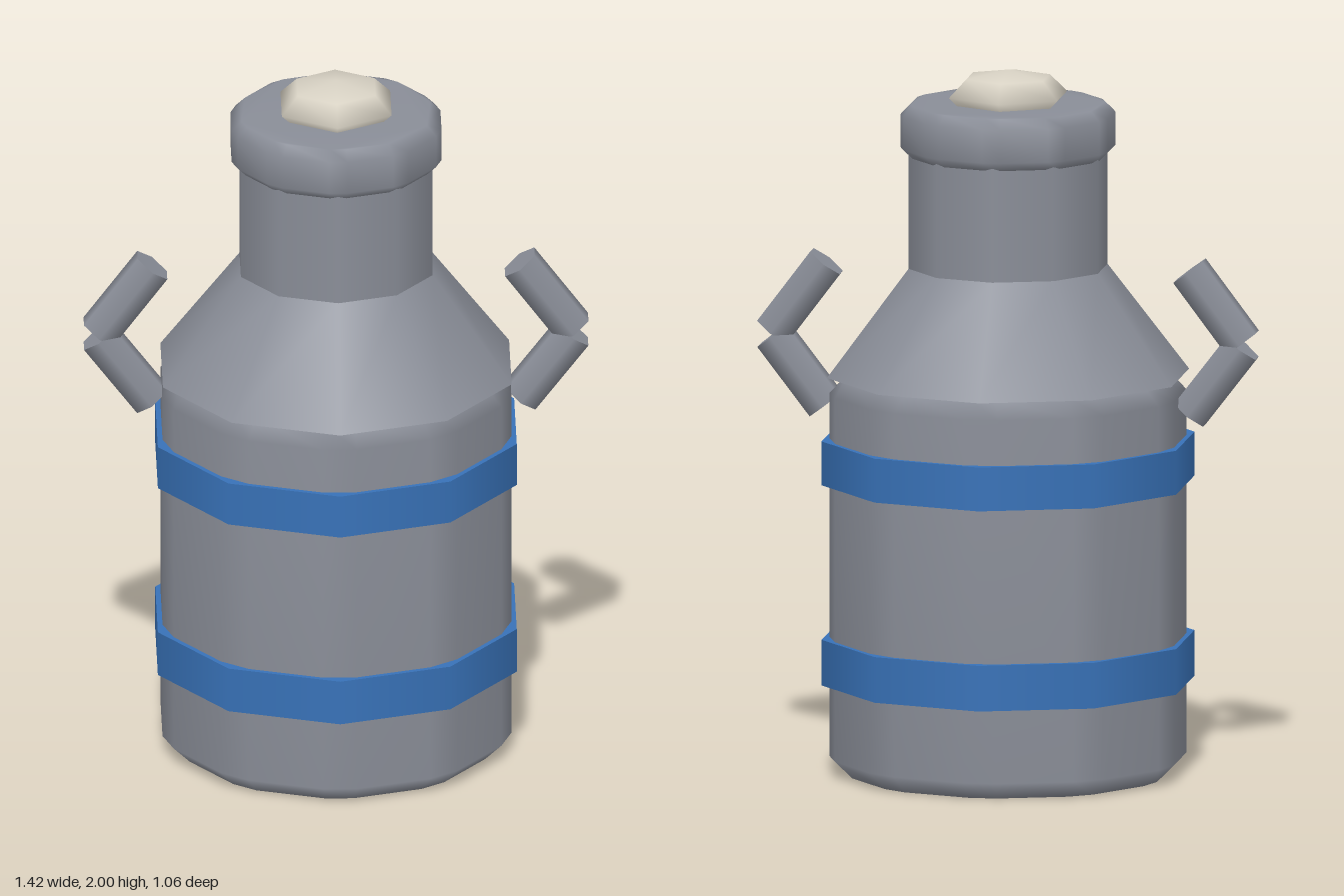
import * as THREE from 'three';
import { mergeVertices } from 'three/addons/utils/BufferGeometryUtils.js';

const metal = new THREE.MeshStandardMaterial({ color: 0x8a8e98 });
const blue = new THREE.MeshStandardMaterial({ color: 0x3872b8 });
const cream = new THREE.MeshStandardMaterial({ color: 0xd8d2c4 });
const SIDES = 10;

// Ten-sided prism with all edges chamfered and area-weighted soft normals
function chamferedPrism(radius, y0, y1, chamfer) {
  const corners = [];
  for (let i = 0; i < SIDES; i++) {
    const a = Math.PI / 2 + (i / SIDES) * Math.PI * 2;
    corners.push(new THREE.Vector2(Math.cos(a), Math.sin(a)).multiplyScalar(radius));
  }
  const t = chamfer / corners[0].distanceTo(corners[1]);
  const outline = corners.flatMap((c, i) => [
    c.clone().lerp(corners[(i + SIDES - 1) % SIDES], t),
    c.clone().lerp(corners[(i + 1) % SIDES], t),
  ]);
  let geo = new THREE.ExtrudeGeometry(new THREE.Shape(outline), {
    depth: y1 - y0 - 2 * chamfer,
    bevelThickness: chamfer,
    bevelSize: chamfer,
    bevelOffset: -chamfer,
    bevelSegments: 1,
  });
  geo.rotateX(-Math.PI / 2).translate(0, y0 + chamfer, 0);
  geo.deleteAttribute('uv');
  geo.deleteAttribute('normal');
  geo = mergeVertices(geo, 1e-4);
  geo.computeVertexNormals();
  return geo;
}

// Ten-sided smooth frustum between two heights
function frustum(rTop, rBottom, y0, y1) {
  return new THREE.CylinderGeometry(rTop, rBottom, y1 - y0, SIDES).translate(0, (y0 + y1) / 2, 0);
}

export function createModel() {
  const model = new THREE.Group();
  model.name = 'milkCan';
  const add = (name, geo, mat, parent = model) => {
    const mesh = new THREE.Mesh(geo, mat);
    mesh.name = name;
    parent.add(mesh);
    return mesh;
  };

  // Can
  add('body', chamferedPrism(0.515, 0, 1.135, 0.05), metal);
  add('shoulder', frustum(0.283, 0.515, 1.135, 1.44), metal);
  add('neck', frustum(0.283, 0.283, 1.44, 1.77), metal);
  add('lid', chamferedPrism(0.31, 1.755, 1.905, 0.028), metal);

  // Painted hoops
  add('lowerBand', frustum(0.53, 0.53, 0.26, 0.39), blue);
  add('upperBand', frustum(0.53, 0.53, 0.83, 0.955), blue);

  // Flattened six-sided knob
  const knob = new THREE.SphereGeometry(0.178, 6, 4).rotateY(Math.PI / 2).scale(1, 0.4, 1);
  add('knob', knob, cream).position.y = 1.929;

  // Handles: two hexagonal bars per side, meeting at an elbow
  for (const side of [1, -1]) {
    const handle = new THREE.Group();
    handle.name = side > 0 ? 'leftHandle' : 'rightHandle';
    const bars = [
      ['upperBar', [0.667, 1.24], [0.516, 1.441]],
      ['lowerBar', [0.518, 1.034], [0.667, 1.228]],
    ];
    for (const [name, a, b] of bars) {
      const dx = (b[0] - a[0]) * side, dy = b[1] - a[1];
      const bar = add(name, new THREE.CylinderGeometry(0.06, 0.06, Math.hypot(dx, dy), 6), metal, handle);
      bar.position.set((side * (a[0] + b[0])) / 2, (a[1] + b[1]) / 2, 0);
      bar.rotation.z = Math.atan2(-dx, dy);
    }
    model.add(handle);
  }
  return model;
}
